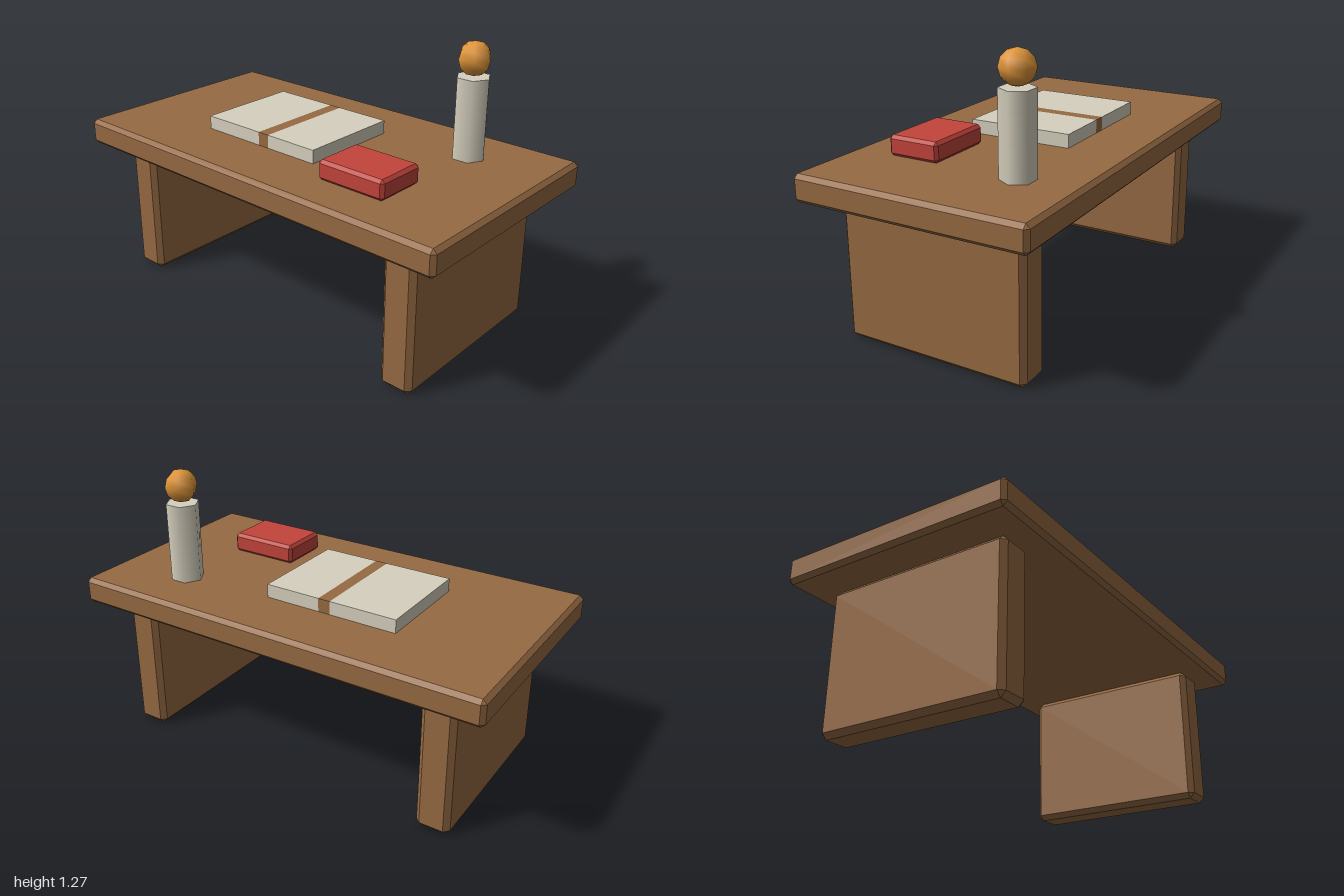
import * as THREE from 'three';
import { ConvexGeometry } from 'three/addons/geometries/ConvexGeometry.js';

function material(name, color) {
  const m = new THREE.MeshStandardMaterial({ color });
  m.name = name;
  return m;
}

// Box with every edge cut by a flat chamfer c: 3 points at each corner.
function chamferBox(w, h, d, c) {
  const points = [];
  for (const sx of [-1, 1]) for (const sy of [-1, 1]) for (const sz of [-1, 1]) {
    for (const axis of [0, 1, 2]) {
      const inset = [c, c, c];
      inset[axis] = 0;
      points.push(new THREE.Vector3(
        sx * (w / 2 - inset[0]), sy * (h / 2 - inset[1]), sz * (d / 2 - inset[2])));
    }
  }
  return new ConvexGeometry(points);
}

export function createModel() {
  const wood = material('wood brown', 0x966a42);
  const paper = material('cream', 0xd6d0be);
  const red = material('cover red', 0xc2443b);
  const orange = material('flame orange', 0xe0963a);

  const group = new THREE.Group();
  group.name = 'desk';
  const add = (name, geometry, mat, x, y, z) => {
    const mesh = new THREE.Mesh(geometry, mat);
    mesh.name = name;
    mesh.position.set(x, y, z);
    group.add(mesh);
    return mesh;
  };

  // Table
  const top = 0.756, under = 0.635;
  add('tableTop', chamferBox(2, top - under, 1.074, 0.018), wood, 0, (top + under) / 2, 0);
  for (const [name, side] of [['leftLeg', 1], ['rightLeg', -1]]) {
    add(name, chamferBox(0.154, under, 0.86, 0.023), wood, side * 0.768, under / 2, 0);
  }

  // Open book: two page blocks joined by a spine strip
  const pageH = 0.062, bookZ = -0.004, bookD = 0.488;
  for (const [name, x0, x1, mat] of [
    ['rightPages', -0.476, -0.157, paper],
    ['bookSpine', -0.157, -0.1, wood],
    ['leftPages', -0.1, 0.167, paper],
  ]) {
    add(name, new THREE.BoxGeometry(x1 - x0, pageH, bookD), mat,
      (x0 + x1) / 2, top + pageH / 2, bookZ);
  }

  // Closed book
  add('closedBook', chamferBox(0.335, 0.09, 0.244, 0.014), red, 0.458, top + 0.045, 0.228);

  // Candle with a ball flame
  const candle = add('candle', new THREE.CylinderGeometry(0.076, 0.076, 0.362, 6), paper,
    0.612, top + 0.181, -0.267);
  candle.rotation.y = Math.PI / 6;
  add('flame', new THREE.SphereGeometry(0.075, 6, 6), orange, 0.612, 1.195, -0.267);

  return group;
}
